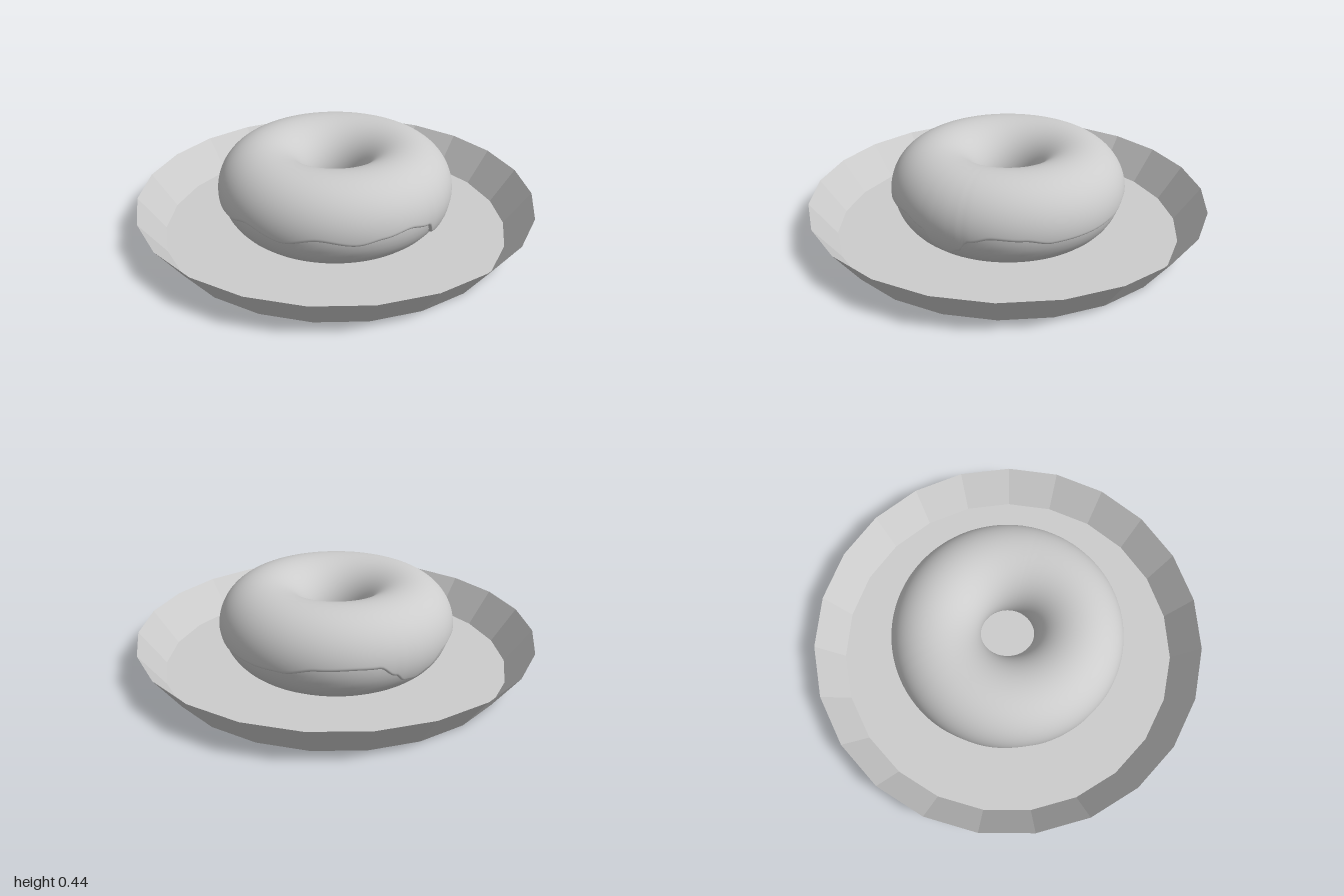
import * as THREE from 'three';

const SIDES = 23; // plate facets

// Lower icing edge: [angle in degrees from the front towards +x, height]
const EDGE = [
  [5, 0.172], [22, 0.21], [40, 0.182], [52, 0.2], [65, 0.215], [78, 0.185], [84, 0.11],
  [91, 0.085], [97, 0.12], [102, 0.18], [113, 0.21], [127, 0.2], [140, 0.172], [160, 0.172],
  [178, 0.18], [194, 0.215], [210, 0.22], [222, 0.215], [230, 0.16], [236, 0.11], [243, 0.1],
  [250, 0.125], [262, 0.185], [275, 0.2], [288, 0.178], [306, 0.2], [317, 0.165], [331, 0.175], [345, 0.21],
];

// Smooth periodic interpolation of the icing edge
function edgeHeight(deg) {
  const n = EDGE.length;
  let i = EDGE.findIndex((e) => e[0] > deg);
  if (i < 0) i = n;
  const [a0, h0] = EDGE[(i - 1 + n) % n];
  const [a1, h1] = EDGE[i % n];
  const span = (a1 - a0 + 360) % 360;
  const k = ((deg - a0 + 360) % 360) / span;
  return h0 + (h1 - h0) * k * k * (3 - 2 * k);
}

// Closed ring swept around y; section(deg, v) returns [radius, height] for v in 0..1
function ring(around, steps, section) {
  const pos = [], index = [];
  for (let i = 0; i < around; i++) {
    const a = (i / around) * Math.PI * 2;
    for (let j = 0; j <= steps; j++) {
      const [r, y] = section((i / around) * 360, j / steps);
      pos.push(r * Math.sin(a), y, r * Math.cos(a));
      if (j < steps) {
        const p = i * (steps + 1) + j;
        const q = ((i + 1) % around) * (steps + 1) + j;
        index.push(p, q, q + 1, p, q + 1, p + 1);
      }
    }
  }
  const g = new THREE.BufferGeometry();
  g.setAttribute('position', new THREE.Float32BufferAttribute(pos, 3));
  g.setIndex(index);
  g.computeVertexNormals();
  return g;
}

export function createModel() {
  const model = new THREE.Group();
  const grey = new THREE.MeshStandardMaterial({ color: 0xcccccc, side: THREE.DoubleSide });
  grey.name = 'light grey';

  const add = (parent, name, geometry) => {
    const mesh = new THREE.Mesh(geometry, grey);
    mesh.name = name;
    parent.add(mesh);
    return mesh;
  };

  // Thin faceted plate: flat floor and flared wall
  const plate = new THREE.Group();
  plate.name = 'plate';
  plate.position.z = 0.005;
  const wall = new THREE.CylinderGeometry(1.002, 0.875, 0.175, SIDES, 1, true, Math.PI)
    .translate(0, 0.0875, 0).toNonIndexed();
  wall.computeVertexNormals();
  add(plate, 'plateWall', wall);
  add(plate, 'plateFloor', new THREE.CircleGeometry(0.875, SIDES, Math.PI / 2).rotateX(-Math.PI / 2));
  model.add(plate);

  // Ring of dough resting on the floor
  const donut = new THREE.Group();
  donut.name = 'donut';
  donut.position.set(-0.003, 0, 0.004);
  const R = 0.365;
  add(donut, 'dough', ring(96, 40, (deg, v) => {
    const t = v * Math.PI * 2 - Math.PI / 2;
    return [R + 0.214 * Math.cos(t), 0.216 + 0.214 * Math.sin(t)];
  }));

  // Icing skin with a wavy, rounded lip that tucks into the dough
  add(donut, 'icing', ring(240, 64, (deg, v) => {
    const start = Math.asin((edgeHeight(deg) - 0.217) / 0.228);
    const end = Math.PI + 0.25;
    const k = v - 0.11 * Math.sin(2 * Math.PI * v); // denser at both edges
    const t = start + (end - start) * k;
    const reach = Math.min(1, Math.min(t - start, end - t) / 0.09);
    const r = 0.21 + 0.018 * Math.sqrt(Math.max(0, 1 - (1 - reach) ** 2));
    return [R + r * Math.cos(t), 0.217 + r * Math.sin(t)];
  }));
  model.add(donut);

  return model;
}
